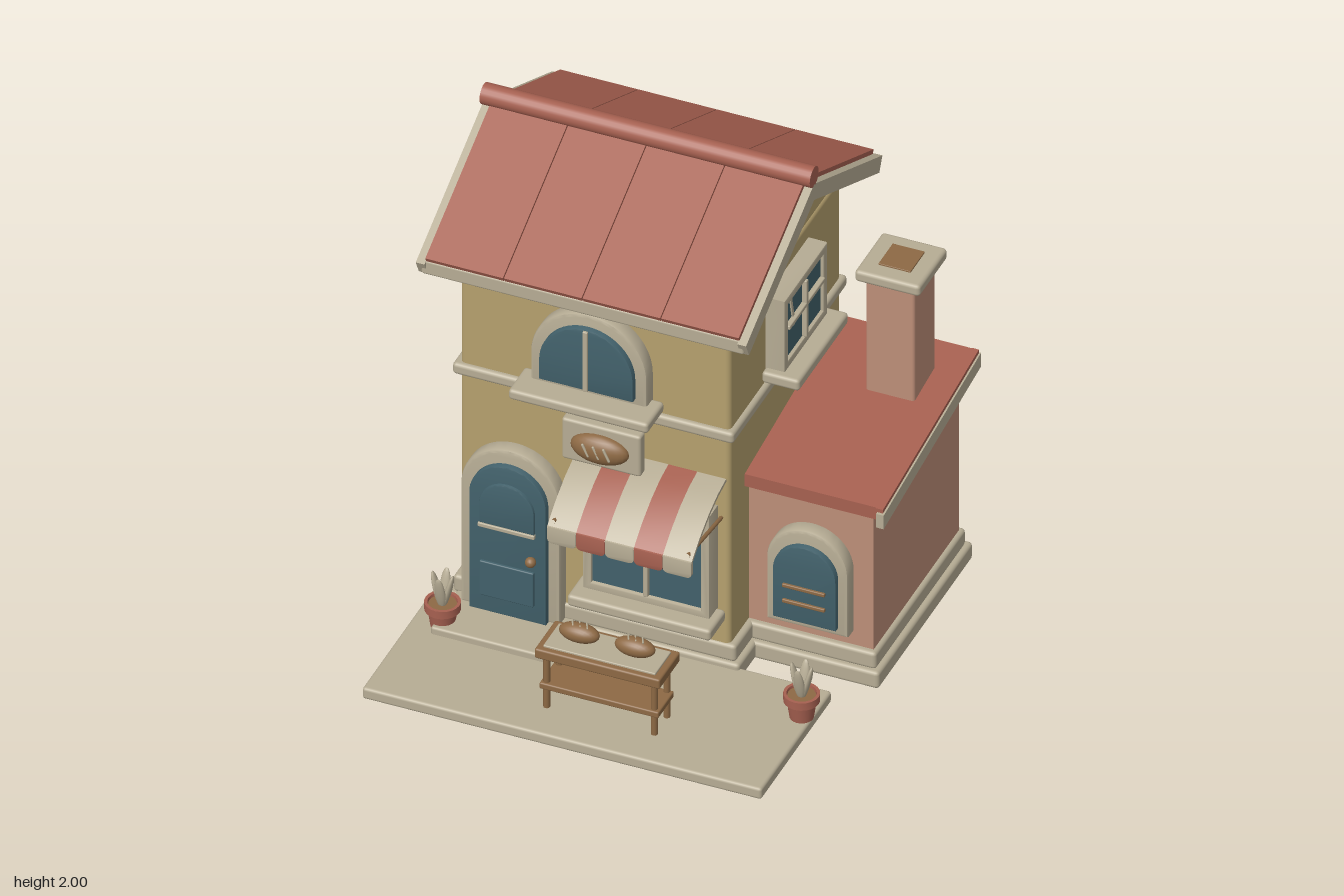
import * as THREE from 'three';
import { toCreasedNormals } from 'three/addons/utils/BufferGeometryUtils.js';
import { RoundedBoxGeometry } from 'three/addons/geometries/RoundedBoxGeometry.js';

const paint = (name, color) => Object.assign(new THREE.MeshStandardMaterial({ color }), { name });

export function createModel() {
  const cream = paint('cream stone', 0xb6ac94), red = paint('roof red', 0xa66050);
  const gold = paint('ochre plaster', 0xb5a06e), pink = paint('pink plaster', 0xbd8e78);
  const blue = paint('teal blue', 0x42616b), brown = paint('wood brown', 0x8d6944);
  const model = new THREE.Group();
  model.name = 'bakery';

  const add = (parent, name, geo, mat, x = 0, y = 0, z = 0) => {
    const mesh = new THREE.Mesh(geo, mat);
    mesh.name = name;
    mesh.position.set(x, y, z);
    parent.add(mesh);
    return mesh;
  };
  const group = (parent, name, x = 0, y = 0, z = 0) => {
    const g = new THREE.Group();
    g.name = name;
    g.position.set(x, y, z);
    parent.add(g);
    return g;
  };
  // Rounded box given by its limits
  const box = (parent, name, mat, x0, x1, y0, y1, z0, z1, r = 0.01) => {
    const w = x1 - x0, h = y1 - y0, d = z1 - z0;
    const geo = new RoundedBoxGeometry(w, h, d, 2, Math.min(r, w / 3, h / 3, d / 3));
    return add(parent, name, geo, mat, (x0 + x1) / 2, (y0 + y1) / 2, (z0 + z1) / 2);
  };
  // Shape pushed forward along z with a small bevel
  const extrude = (shape, depth, bevel = 0.006) => toCreasedNormals(new THREE.ExtrudeGeometry(shape, {
    depth: depth - bevel, curveSegments: 14, bevelEnabled: bevel > 0, bevelSize: bevel,
    bevelThickness: bevel, bevelOffset: -bevel, bevelSegments: 2,
  }), 0.5);
  // Outline of [z, y] points swept from x0 to x1
  const sweepX = (parent, name, mat, pts, x0, x1) => {
    const shape = new THREE.Shape(pts.map(p => new THREE.Vector2(p[0], p[1])));
    const geo = new THREE.ExtrudeGeometry(shape, { depth: x1 - x0, bevelEnabled: false });
    return add(parent, name, toCreasedNormals(geo.rotateY(-Math.PI / 2), 0.5), mat, x1);
  };
  // Round-headed shape with half width r
  const arch = (r, y0, spring) => {
    const s = new THREE.Shape();
    s.moveTo(-r, y0);
    s.lineTo(r, y0);
    s.lineTo(r, spring);
    s.absarc(0, spring, r, 0, Math.PI, false);
    s.closePath();
    return s;
  };
  const glint = (parent, x, y, z, len) => {
    add(parent, 'glint', new THREE.BoxGeometry(0.014, len, 0.006), cream, x, y, z).rotation.z = 0.23;
  };

  // Ground, step and stepped bases
  box(model, 'pavement', cream, -0.87, 0.72, 0, 0.05, 0.26, 0.92, 0.012);
  box(model, 'doorStep', cream, -0.77, -0.305, 0.04, 0.08, 0.24, 0.515);
  box(model, 'houseSlab', cream, -0.8, 0.36, 0, 0.075, -0.805, 0.285, 0.015);
  box(model, 'housePlinth', cream, -0.785, 0.34, 0.07, 0.145, -0.785, 0.27, 0.015);
  box(model, 'annexSlab', cream, 0.3, 0.85, 0, 0.075, -0.755, 0.13, 0.015);
  box(model, 'annexPlinth', cream, 0.3, 0.83, 0.07, 0.145, -0.735, 0.11, 0.015);

  // Main house walls, gable and string course
  box(model, 'houseWalls', gold, -0.76, 0.315, 0.1, 1.57, -0.77, 0.26, 0.02);
  sweepX(model, 'gable', gold, [[0.25, 1.56], [0.25, 1.605], [-0.255, 1.85], [-0.76, 1.605], [-0.76, 1.56]], -0.752, 0.307);
  box(model, 'stringCourse', cream, -0.785, 0.335, 1.07, 1.12, -0.79, 0.28, 0.015);

  // Main roof: two slopes with panels, verges and fascias
  const roof = group(model, 'mainRoof'), ridgeZ = -0.255, slope = 0.48, tilt = Math.atan(slope);
  const band = (side, top, d1, t) => [
    [0, top], [d1, top - slope * d1],
    [d1 - t * Math.sin(tilt), top - slope * d1 - t * Math.cos(tilt)], [0, top - t / Math.cos(tilt)],
  ].map(([d, y]) => [ridgeZ + side * d, y]);
  for (const side of [1, -1]) {
    sweepX(roof, 'roofDeck', cream, band(side, 1.922, 0.615, 0.035), -0.85, 0.4);
    for (const x of [-0.885, 0.395]) sweepX(roof, 'verge', cream, band(side, 1.926, 0.637, 0.066), x, x + 0.035);
    for (let i = 0; i < 4; i++) {
      const x = -0.852 + i * 0.313;
      sweepX(roof, 'roofPanel', red, band(side, 1.946, 0.63, 0.024), x + 0.002, x + 0.311);
    }
    const z = ridgeZ + side * 0.61;
    box(roof, 'fascia', cream, -0.87, 0.415, 1.565, 1.628, z - 0.014, z + 0.014);
  }
  add(roof, 'ridge', new THREE.CylinderGeometry(0.042, 0.042, 1.315, 20), red, -0.2275, 1.958, ridgeZ).rotation.z = Math.PI / 2;

  // Annex walls, lean-to roof and chimney
  sweepX(model, 'annexWalls', pink, [[0.085, 0.1], [0.085, 0.785], [-0.71, 0.89], [-0.71, 0.1]], 0.3, 0.812);
  const lean = (top, t, z0, z1) => {
    const y = z => top + 0.133 * (0.135 - z);
    return [[z0, y(z0)], [z1, y(z1)], [z1, y(z1) - t], [z0, y(z0) - t]];
  };
  sweepX(model, 'annexRoof', red, lean(0.827, 0.055, 0.125, -0.765), 0.31, 0.85);
  sweepX(model, 'annexVerge', cream, lean(0.812, 0.062, 0.14, -0.77), 0.845, 0.875);
  sweepX(model, 'annexRoofEdge', red, lean(0.828, 0.017, 0.13, -0.766), 0.84, 0.868);
  box(model, 'chimney', pink, 0.557, 0.752, 0.8, 1.42, -0.635, -0.435, 0.012);
  box(model, 'chimneyCap', cream, 0.525, 0.785, 1.405, 1.455, -0.67, -0.405, 0.015);
  box(model, 'flue', brown, 0.592, 0.72, 1.44, 1.461, -0.608, -0.474, 0.002);

  // Rectangular window facing +z, standing on y = 0, with a projecting sill
  const rectWindow = (name, w, h, crossbar) => {
    const g = group(model, name), b = 0.035, a = w / 2;
    const frame = new THREE.Shape([[-a, 0], [a, 0], [a, h], [-a, h]].map(p => new THREE.Vector2(...p)));
    frame.holes.push(new THREE.Path([[b - a, b], [b - a, h - b], [a - b, h - b], [a - b, b]].map(p => new THREE.Vector2(...p))));
    add(g, 'windowFrame', extrude(frame, 0.08), cream);
    box(g, 'glass', blue, b - a - 0.005, a - b + 0.005, b - 0.005, h - b + 0.005, 0, 0.066, 0.002);
    box(g, 'mullion', cream, -0.009, 0.009, b, h - b, 0.05, 0.086, 0.004);
    if (crossbar) box(g, 'crossbar', cream, b - a, a - b, h * 0.56 - 0.009, h * 0.56 + 0.009, 0.05, 0.086, 0.004);
    box(g, 'sill', cream, -a - 0.033, a + 0.033, -0.045, 0.005, 0, 0.15, 0.014);
    glint(g, -a * 0.52, h * 0.66, 0.069, crossbar ? 0.14 : 0.2);
    return g;
  };
  const sideWindow = rectWindow('sideWindow', 0.4, 0.325, true);
  sideWindow.position.set(0.312, 1.177, -0.27);
  sideWindow.rotation.y = Math.PI / 2;
  for (const [name, y, h] of [['upperBackWindow', 1.177, 0.325], ['lowerBackWindow', 0.415, 0.375]]) {
    const w = rectWindow(name, 0.4, h, true);
    w.position.set(-0.225, y, -0.768);
    w.rotation.y = Math.PI;
  }
  rectWindow('shopWindow', 0.505, 0.47, false).position.set(0.014, 0.295, 0.262);

  // Arched openings: a stone surround with a raised panel
  const arched = (name, x, z, outer, inner) => {
    const g = group(model, name, x, 0, z);
    add(g, 'surround', extrude(arch(...outer), 0.06, 0.012), cream);
    add(g, 'panel', extrude(arch(...inner), 0.085, 0.004), blue);
    return g;
  };
  const upper = arched('archedWindow', -0.225, 0.258, [0.232, 1.15, 1.293], [0.187, 1.2, 1.288]);
  box(upper, 'mullion', cream, -0.01, 0.01, 1.2, 1.472, 0.07, 0.095, 0.004);
  box(upper, 'sill', cream, -0.278, 0.278, 1.13, 1.175, 0, 0.16, 0.014);

  const annexWindow = arched('annexWindow', 0.57, 0.083, [0.162, 0.21, 0.488], [0.125, 0.248, 0.467]);
  for (const y of [0.405, 0.335]) box(annexWindow, 'bar', brown, -0.085, 0.085, y - 0.008, y + 0.008, 0.06, 0.095, 0.004);

  const door = arched('door', -0.537, 0.258, [0.198, 0.075, 0.615], [0.153, 0.08, 0.602]);
  add(door, 'upperPanel', extrude(arch(0.11, 0.485, 0.57), 0.096, 0.005), blue);
  box(door, 'lowerPanel', blue, -0.108, 0.108, 0.155, 0.31, 0.05, 0.096, 0.005);
  box(door, 'rail', cream, -0.113, 0.113, 0.467, 0.485, 0.07, 0.1, 0.004);
  add(door, 'doorKnob', new THREE.SphereGeometry(0.021, 14, 10), brown, 0.103, 0.372, 0.11);

  // Striped awning with rounded valance flaps and support rods
  const awning = group(model, 'awning'), stripe = 0.115;
  const curve = [[0.262, 0.895], [0.34, 0.878], [0.42, 0.846], [0.5, 0.8], [0.56, 0.755], [0.588, 0.73]];
  const canopy = [...curve, ...curve.map(([z, y]) => [z - 0.004, y - 0.013]).reverse()];
  for (let i = 0; i < 5; i++) {
    const x = -0.275 + i * stripe, mat = i % 2 ? red : cream;
    sweepX(awning, 'canopyStripe', mat, canopy, x, x + stripe);
    const flap = new THREE.Shape(), c = 0.022;
    flap.moveTo(0, 0.735);
    flap.lineTo(0, 0.66 + c);
    flap.quadraticCurveTo(0, 0.66, c, 0.66);
    flap.lineTo(stripe - c, 0.66);
    flap.quadraticCurveTo(stripe, 0.66, stripe, 0.66 + c);
    flap.lineTo(stripe, 0.735);
    add(awning, 'valanceFlap', extrude(flap, 0.016, 0.003), mat, x, 0, 0.572);
  }
  for (const x of [-0.255, 0.28]) {
    const path = new THREE.LineCurve3(new THREE.Vector3(x, 0.712, 0.26), new THREE.Vector3(x, 0.752, 0.575));
    add(awning, 'supportRod', new THREE.TubeGeometry(path, 1, 0.008, 8), brown);
  }

  // Loaf facing +z with three pale slashes
  const loaf = (parent, x, y, z, a, b, c) => {
    const g = group(parent, 'loaf', x, y, z);
    add(g, 'crust', new THREE.SphereGeometry(1, 24, 14), brown).scale.set(a, b, c);
    for (const k of [-1, 0, 1]) {
      const cut = add(g, 'slash', new THREE.CapsuleGeometry(a * 0.045, b * 0.8, 3, 8), cream, k * a * 0.36, b * 0.12, c * 0.9);
      cut.rotation.z = 0.45;
    }
    return g;
  };
  const sign = group(model, 'shopSign');
  box(sign, 'signBoard', cream, -0.315, 0, 0.878, 1.062, 0.31, 0.36, 0.012);
  box(sign, 'signBracket', cream, -0.2, -0.12, 0.92, 1, 0.25, 0.32, 0.004);
  loaf(sign, -0.16, 0.967, 0.362, 0.116, 0.062, 0.045);

  // Display table with two loaves
  const table = group(model, 'table');
  box(table, 'tableTop', brown, -0.237, 0.262, 0.285, 0.328, 0.6, 0.795, 0.008);
  box(table, 'tableCloth', cream, -0.212, 0.235, 0.32, 0.336, 0.622, 0.772, 0.004);
  box(table, 'shelf', brown, -0.225, 0.25, 0.138, 0.165, 0.63, 0.778, 0.006);
  for (const x of [-0.203, 0.226]) for (const z of [0.642, 0.758]) {
    add(table, 'tableLeg', new THREE.CylinderGeometry(0.013, 0.013, 0.245, 10), brown, x, 0.17, z);
  }
  for (const x of [-0.1, 0.122]) loaf(table, x, 0.374, 0.695, 0.08, 0.04, 0.038).rotation.x = -Math.PI / 2;

  // Potted plants on both sides of the pavement
  const pot = [[0, 0], [0.045, 0], [0.056, 0.075], [0.068, 0.075], [0.068, 0.108], [0.056, 0.108], [0.054, 0.092], [0, 0.092]];
  for (const x of [-0.75, 0.68]) {
    const plant = group(model, 'pottedPlant', x, 0.05, 0.448);
    const geo = toCreasedNormals(new THREE.LatheGeometry(pot.map(p => new THREE.Vector2(...p)), 20), 0.5);
    add(plant, 'pot', geo, red);
    add(plant, 'soil', new THREE.CylinderGeometry(0.053, 0.053, 0.006, 20), brown, 0, 0.095, 0);
    for (let i = 0; i < 4; i++) {
      const stem = group(plant, 'leafStem', 0, 0.09, 0);
      stem.rotation.set(0, i * Math.PI / 2, -0.24, 'YXZ');
      add(stem, 'leaf', new THREE.SphereGeometry(1, 12, 10), cream, 0.006, 0.07, 0).scale.set(0.012, 0.08, 0.021);
    }
  }
  return model;
}
